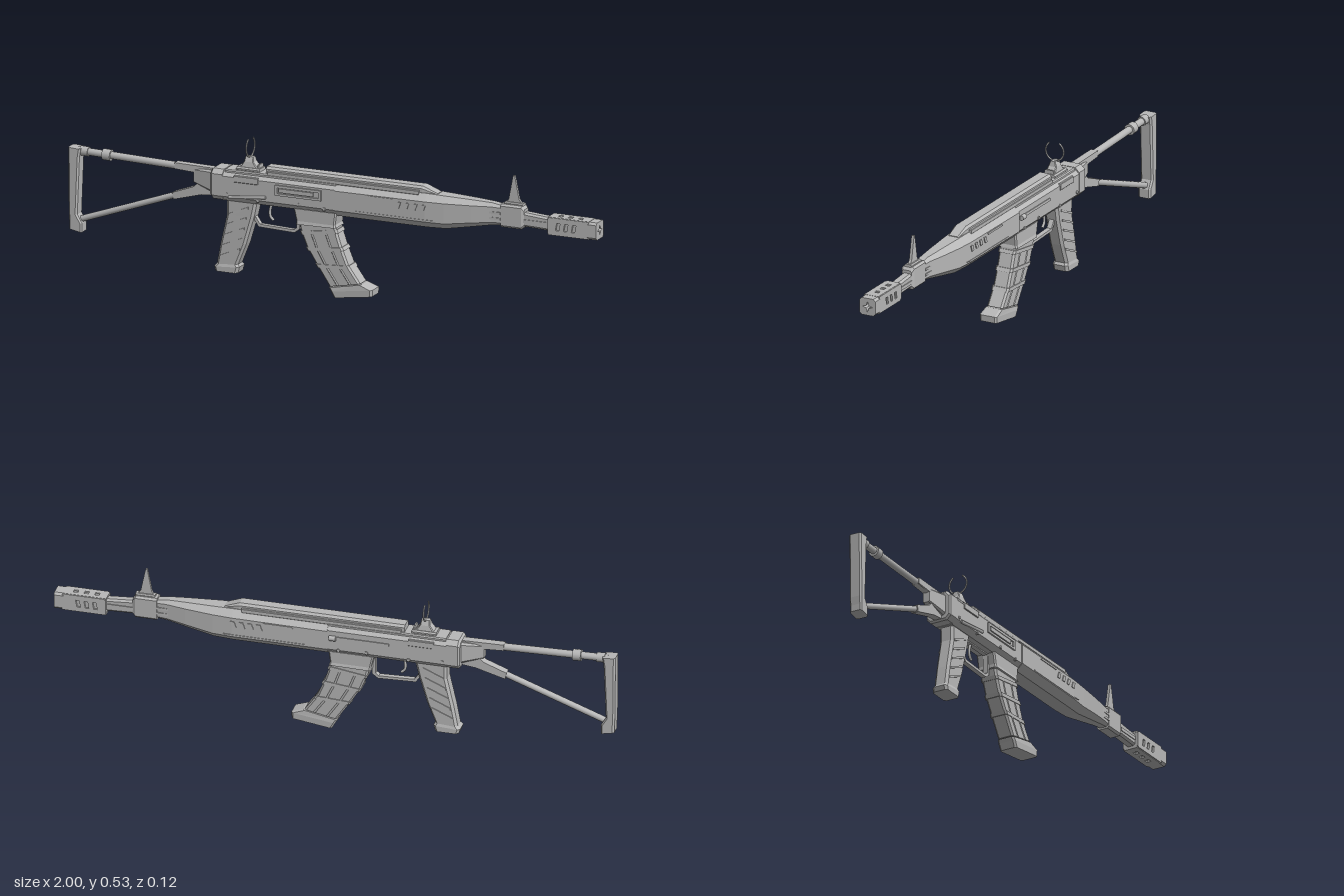
import * as THREE from 'three';

const grey = new THREE.MeshStandardMaterial({ color: 0xb8b8b8 });
grey.name = 'metal grey';

// Closed chamfered solid through sections [ax, ay, bx, by, halfWidth, chamfer]
function loft(sections) {
  const rings = sections.map(([ax, ay, bx, by, w, c]) => {
    const len = Math.hypot(bx - ax, by - ay);
    return [[0, c - w], [c, -w], [len - c, -w], [len, c - w], [len, w - c], [len - c, w], [c, w], [0, w - c]]
      .map(([u, z]) => [ax + (bx - ax) * u / len, ay + (by - ay) * u / len, z]);
  });
  const pos = [];
  const tri = (...p) => p.forEach((v) => pos.push(...v));
  const first = rings[0], last = rings[rings.length - 1];
  for (let k = 0; k < rings.length - 1; k++) {
    const a = rings[k], b = rings[k + 1];
    for (let i = 0; i < 8; i++) {
      const j = (i + 1) % 8;
      tri(a[i], a[j], b[j]);
      tri(a[i], b[j], b[i]);
    }
  }
  for (let i = 1; i < 7; i++) {
    tri(last[0], last[i], last[i + 1]);
    tri(first[0], first[i + 1], first[i]);
  }
  const g = new THREE.BufferGeometry();
  g.setAttribute('position', new THREE.Float32BufferAttribute(pos, 3));
  g.computeVertexNormals();
  return g;
}
// Sections along x: [x, bottom, top, halfWidth, chamfer]
const loftX = (list) => loft(list.map(([x, y0, y1, w, c]) => [x, y0, x, y1, w, c]));

const toPath = (pts) => pts.map(([x, y]) => new THREE.Vector2(x, y));

// Flat outline in the xy plane, centred on z = 0
function plate(pts, depth, holes = []) {
  const shape = new THREE.Shape(toPath(pts));
  holes.forEach((h) => shape.holes.push(new THREE.Path(toPath(h))));
  return new THREE.ExtrudeGeometry(shape, { depth, bevelEnabled: false }).translate(0, 0, -depth / 2);
}

function rod(x0, y0, x1, y1, r, sides = 12) {
  const g = new THREE.CylinderGeometry(r, r, Math.hypot(x1 - x0, y1 - y0), sides);
  return g.rotateZ(Math.atan2(y1 - y0, x1 - x0) - Math.PI / 2).translate((x0 + x1) / 2, (y0 + y1) / 2, 0);
}

const box = (x0, x1, y0, y1, z0, z1) => new THREE.BoxGeometry(x1 - x0, y1 - y0, z1 - z0)
  .translate((x0 + x1) / 2, (y0 + y1) / 2, (z0 + z1) / 2);

// Slanted slot outline
const slot = (x, y, w, h, lean) => [[x, y], [x + w, y], [x + w + lean, y + h], [x + lean, y + h]];

export function createModel() {
  const model = new THREE.Group();
  model.name = 'rifle';
  model.position.z = 0.004;
  const add = (name, geometry) => {
    const m = new THREE.Mesh(geometry, grey);
    m.name = name;
    model.add(m);
    return m;
  };
  const bothSides = (name, geometry, z) => [-z, z].forEach((s) => { add(name, geometry).position.z = s; });

  // Folding stock
  add('buttPlate', loft([[-1, 0.418, -0.953, 0.415, 0.024, 0.006], [-1, 0.385, -0.958, 0.385, 0.024, 0.006],
    [-0.998, 0.18, -0.966, 0.18, 0.024, 0.006], [-0.996, 0.15, -0.948, 0.15, 0.024, 0.006],
    [-0.996, 0.127, -0.948, 0.118, 0.024, 0.006]]));
  add('upperStrut', rod(-0.97, 0.405, -0.5, 0.392, 0.013));
  add('strutCollar', rod(-0.875, 0.402, -0.845, 0.401, 0.02));
  add('strutSleeve', rod(-0.96, 0.405, -0.93, 0.404, 0.017));
  add('lowerStrut', rod(-0.97, 0.157, -0.56, 0.305, 0.011));
  add('stockYoke', plate([[-0.44, 0.405], [-0.6, 0.408], [-0.6, 0.386], [-0.53, 0.382], [-0.508, 0.37], [-0.508, 0.35],
    [-0.53, 0.33], [-0.61, 0.3], [-0.605, 0.276], [-0.5, 0.305], [-0.44, 0.312]], 0.028));
  add('stockHinge', loftX([[-0.53, 0.345, 0.395, 0.013, 0.004], [-0.44, 0.318, 0.402, 0.032, 0.008]]));

  // Receiver
  add('receiver', loftX([[-0.41, 0.302, 0.41, 0.048, 0.018], [0.02, 0.302, 0.41, 0.048, 0.018]]));
  add('rearCap', loftX([[-0.452, 0.31, 0.405, 0.044, 0.014], [-0.445, 0.304, 0.413, 0.049, 0.016],
    [-0.405, 0.304, 0.413, 0.049, 0.016]]));
  add('topCover', loftX([[-0.4, 0.4, 0.414, 0.036, 0.004], [0.02, 0.4, 0.414, 0.036, 0.004]]));
  add('portFrame', plate([[-0.205, 0.348], [-0.03, 0.348], [-0.03, 0.385], [-0.205, 0.385]], 0.008,
    [[[-0.195, 0.356], [-0.195, 0.376], [-0.04, 0.376], [-0.04, 0.356]]])).position.z = 0.05;
  add('bolt', box(-0.19, -0.06, 0.36, 0.374, 0.045, 0.054));
  add('selector', rod(-0.38, 0.32, -0.24, 0.335, 0.006, 6)).position.z = 0.049;
  add('chargingHandle', rod(-0.012, 0.367, 0.012, 0.367, 0.009)).position.z = -0.054;
  add('handleSlot', box(-0.2, 0.01, 0.362, 0.372, -0.051, -0.045));
  for (const [x, y] of [[-0.39, 0.33], [-0.27, 0.32], [-0.12, 0.325], [-0.02, 0.32]]) {
    add('receiverPin', new THREE.CylinderGeometry(0.006, 0.006, 0.102, 10).rotateX(Math.PI / 2).translate(x, y, 0));
  }
  for (const s of [-1, 1]) {
    add('sideBrace', loftX([[-0.36, 0.376, 0.4, 0.005, 0.002], [-0.27, 0.376, 0.4, 0.005, 0.002]])).position.z = s * 0.047;
  }

  // Handguard
  add('handguard', loftX([[0.02, 0.296, 0.414, 0.051, 0.024], [0.36, 0.296, 0.416, 0.051, 0.024],
    [0.43, 0.298, 0.414, 0.046, 0.022], [0.53, 0.316, 0.411, 0.035, 0.017], [0.6, 0.329, 0.408, 0.025, 0.012],
    [0.64, 0.334, 0.402, 0.021, 0.008]]));
  for (let i = 0; i < 4; i++) bothSides('ventSlot', plate(slot(0.25 + i * 0.031, 0.358, 0.014, 0.022, 0.008), 0.006), 0.051);
  bothSides('guardRidge', plate([[0.14, 0.382], [0.24, 0.382], [0.247, 0.389], [0.147, 0.389]], 0.006), 0.051);
  bothSides('lowerRidge', plate([[0.1, 0.328], [0.39, 0.328], [0.36, 0.323], [0.1, 0.323]], 0.006), 0.05);
  for (let i = 0; i < 2; i++) bothSides('noseRidge', box(0.58, 0.635, 0.352 + i * 0.02, 0.36 + i * 0.02, -0.003, 0.003), 0.023);

  // Top rail with sloped nose
  add('topRail', loftX([[-0.25, 0.405, 0.438, 0.026, 0.008], [0.34, 0.405, 0.438, 0.026, 0.008],
    [0.395, 0.405, 0.417, 0.02, 0.003]]));
  bothSides('railSkirt', loftX([[-0.24, 0.408, 0.424, 0.006, 0.002], [0.33, 0.408, 0.424, 0.006, 0.002]]), 0.029);

  // Rear ring sight
  add('rearSightFoot', loftX([[-0.362, 0.41, 0.425, 0.026, 0.005], [-0.275, 0.41, 0.425, 0.026, 0.005]]));
  add('rearSightBase', loft([[-0.285, 0.422, -0.285, 0.422 + 0.001, 0.018, 0], [-0.285, 0.422, -0.285, 0.438, 0.018, 0.004],
    [-0.28, 0.422, -0.28, 0.438, 0.018, 0.004]]));
  add('rearSightBlock', loft([[-0.335, 0.462, -0.305, 0.462, 0.009, 0.002], [-0.338, 0.444, -0.302, 0.444, 0.016, 0.003],
    [-0.355, 0.42, -0.282, 0.42, 0.02, 0.004]]));
  const gap = 0.55;
  add('rearSightRing', new THREE.TorusGeometry(0.035, 0.003, 8, 40, Math.PI * 2 - gap * 2)
    .rotateZ(Math.PI / 2 + gap).rotateY(Math.PI / 2).translate(-0.32, 0.495, 0));

  // Front block and post sight
  add('frontBlock', loftX([[0.635, 0.327, 0.41, 0.024, 0.007], [0.712, 0.327, 0.41, 0.024, 0.007],
    [0.722, 0.337, 0.398, 0.019, 0.006]]));
  add('frontSight', plate([[0.648, 0.408], [0.713, 0.408], [0.697, 0.428], [0.68, 0.512], [0.674, 0.512], [0.658, 0.428]], 0.01));
  add('frontSightFoot', loftX([[0.645, 0.4, 0.417, 0.014, 0.004], [0.714, 0.4, 0.417, 0.014, 0.004]]));

  // Barrel and muzzle
  add('barrel', loftX([[0.715, 0.337, 0.388, 0.018, 0.007], [0.83, 0.333, 0.379, 0.018, 0.007]]));
  bothSides('barrelRidge', box(0.72, 0.815, 0.352, 0.364, -0.003, 0.003), 0.018);
  add('muzzleCore', box(0.825, 0.965, 0.33, 0.382, -0.023, 0.023));
  const muzzleSlots = [0, 1, 2].map((i) => slot(0.845 + i * 0.03, 0.342, 0.013, 0.026, 0.005));
  bothSides('muzzleSide', plate([[0.815, 0.33], [0.822, 0.325], [0.97, 0.325], [0.97, 0.386], [0.822, 0.386], [0.815, 0.38]],
    0.007, muzzleSlots), 0.0265);
  const topSlots = [0, 1, 2].map((i) => slot(0.845 + i * 0.038, -0.008, 0.016, 0.016, 0));
  for (const y of [0.3835, 0.3265]) {
    add('muzzleCover', plate([[0.815, -0.026], [0.97, -0.026], [0.97, 0.026], [0.815, 0.026]], 0.007, topSlots)
      .rotateX(Math.PI / 2).translate(0, y, 0));
  }
  add('muzzleRear', box(0.816, 0.83, 0.327, 0.384, -0.027, 0.027));
  // Front cap pierced by a four-pointed opening
  const star = Array.from({ length: 8 }, (_, i) => {
    const r = i % 2 ? 0.007 : 0.02, a = i * Math.PI / 4;
    return [r * Math.cos(a), r * Math.sin(a)];
  });
  const e = 0.031, k = 0.023;
  add('muzzleCap', plate([[e, -k], [e, k], [k, e], [-k, e], [-e, k], [-e, -k], [-k, -e], [k, -e]], 0.035, [star])
    .rotateY(Math.PI / 2).translate(0.9825, 0.355, 0));

  // Pistol grip with slanted ribs
  add('grip', loft([[-0.4, 0.31, -0.285, 0.31, 0.028, 0.009], [-0.4, 0.25, -0.298, 0.25, 0.027, 0.009],
    [-0.425, 0.14, -0.328, 0.15, 0.027, 0.009], [-0.438, 0.07, -0.358, 0.075, 0.027, 0.009],
    [-0.447, 0.06, -0.352, 0.066, 0.03, 0.009], [-0.442, 0.044, -0.358, 0.044, 0.03, 0.009]]));
  for (let i = 0; i < 5; i++) {
    const y = 0.095 + i * 0.038, x = -0.432 + i * 0.008;
    bothSides('gripRib', plate([[x + 0.01, y], [x + 0.085, y + 0.032], [x + 0.085, y + 0.04], [x + 0.01, y + 0.008]], 0.006), 0.027);
  }

  // Trigger and guard
  add('triggerGuard', plate([[-0.31, 0.305], [-0.31, 0.25], [-0.285, 0.215], [-0.15, 0.21], [-0.13, 0.225], [-0.13, 0.305]], 0.018,
    [[[-0.298, 0.298], [-0.142, 0.298], [-0.142, 0.229], [-0.153, 0.22], [-0.28, 0.225], [-0.298, 0.252]]]));
  const curve = new THREE.CatmullRomCurve3([[-0.238, 0.305], [-0.246, 0.275], [-0.244, 0.255], [-0.232, 0.242]]
    .map(([x, y]) => new THREE.Vector3(x, y, 0)));
  add('trigger', new THREE.TubeGeometry(curve, 12, 0.005, 8));

  // Curved magazine: stations [rearX, rearY, frontX, frontY]
  const stations = [[-0.135, 0.3, 0.008, 0.3], [-0.118, 0.225, 0.016, 0.245], [-0.095, 0.17, 0.036, 0.185],
    [-0.06, 0.115, 0.062, 0.122], [-0.01, 0.04, 0.106, 0.062]];
  add('magazine', loft(stations.map((s) => [...s, 0.031, 0.007])));
  stations.slice(1, 4).forEach(([ax, ay, bx, by], i) => {
    const [nx, ny] = [0.006 + i * 0.001, -0.012];
    add('magazineBand', loft([[ax - 0.003, ay, bx + 0.003, by, 0.034, 0.007],
      [ax + nx - 0.003, ay + ny, bx + nx + 0.003, by + ny, 0.034, 0.007]]));
  });
  for (const t of [0.3, 0.7]) {
    const path = stations.map(([ax, ay, bx, by]) => [ax + (bx - ax) * t, ay + (by - ay) * t]);
    for (let i = 1; i < 4; i++) bothSides('magazineFlute', rod(...path[i], ...path[i + 1], 0.004, 6), 0.03);
  }
  add('magazineFoot', loft([[-0.012, 0.036, 0.112, 0.06, 0.032, 0.007], [-0.004, 0.024, 0.153, 0.045, 0.034, 0.007],
    [0.008, 0.002, 0.152, 0.022, 0.033, 0.007]]));
  add('magazineWell', loft([[-0.142, 0.305, 0.02, 0.305, 0.036, 0.005], [-0.132, 0.262, 0.014, 0.262, 0.036, 0.005],
    [-0.132, 0.25, 0.018, 0.252, 0.039, 0.005]]));
  return model;
}
